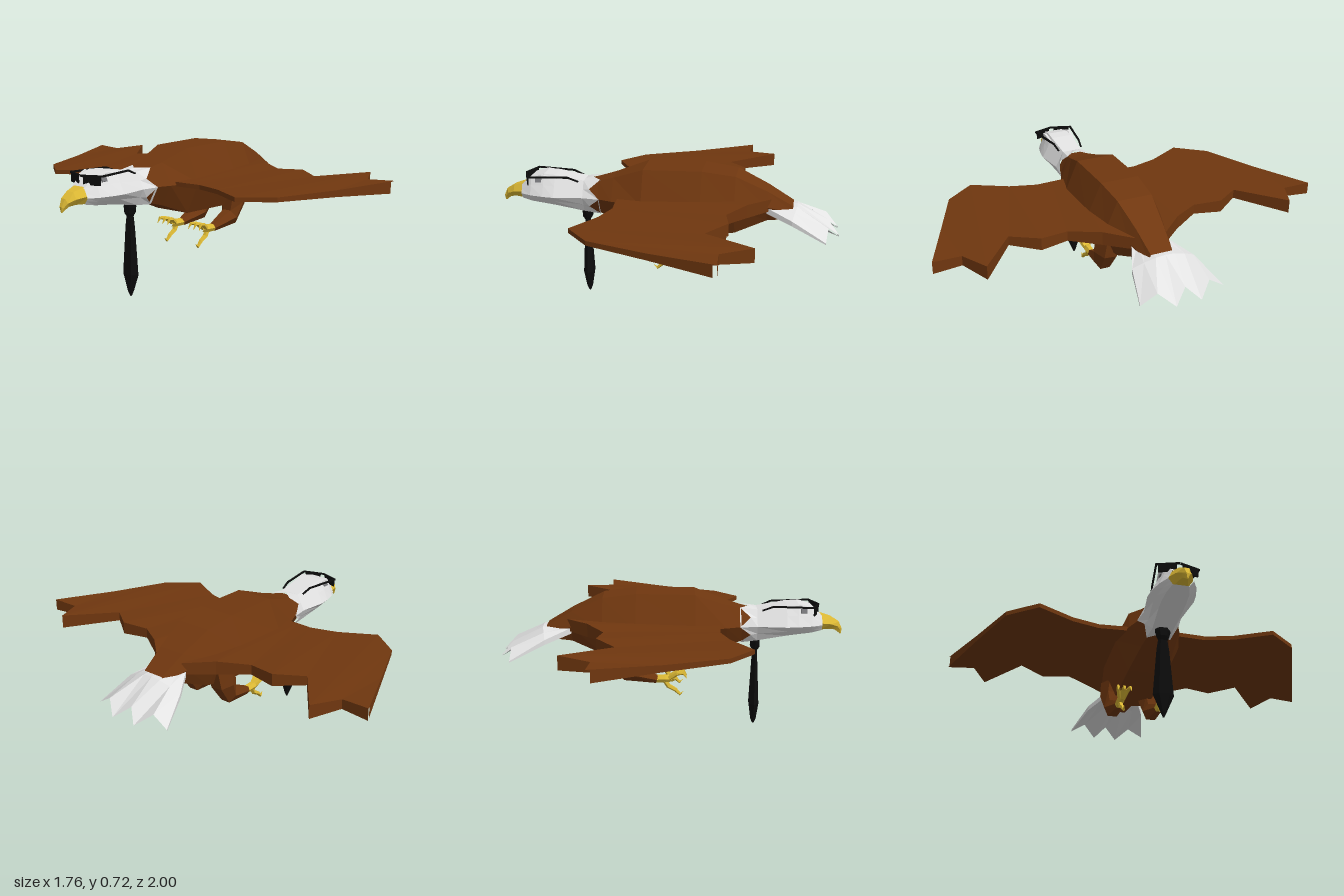
import * as THREE from 'three';

const mat = (name, color, side = THREE.FrontSide) =>
  Object.assign(new THREE.MeshStandardMaterial({ color, flatShading: true, side }), { name });

// Loft through rings of [x, y, z] points, closed with strip caps; faces always end up outward.
function loft(rings) {
  const tris = [];
  const quad = (a, b, c, d) => tris.push([a, b, c], [a, c, d]);
  const n = rings[0].length;
  for (let r = 0; r + 1 < rings.length; r++)
    for (let i = 0; i < n; i++) {
      const j = (i + 1) % n;
      quad(rings[r][i], rings[r][j], rings[r + 1][j], rings[r + 1][i]);
    }
  const cap = (g, flip) => {
    for (let i = 0; i < Math.floor(n / 2) - 1; i++) {
      const q = [g[i], g[n - 1 - i], g[n - 2 - i], g[i + 1]];
      quad(...(flip ? q.reverse() : q));
    }
  };
  cap(rings[0], true);
  cap(rings[rings.length - 1], false);
  let volume = 0;
  const [p, q, s] = [new THREE.Vector3(), new THREE.Vector3(), new THREE.Vector3()];
  const o = new THREE.Vector3(...rings[0][0]);
  for (const [a, b, c] of tris)
    volume += p.set(...a).sub(o).dot(q.set(...b).sub(o).cross(s.set(...c).sub(o)));
  if (volume < 0) tris.forEach((t) => t.reverse());
  const geo = new THREE.BufferGeometry();
  geo.setAttribute('position', new THREE.Float32BufferAttribute(tris.flat(2), 3));
  geo.computeVertexNormals();
  return geo;
}

// Six-sided body section: flat top, wide middle, flat bottom.
const hex = ([x, top, mid, bottom, wTop, wMid, wBottom]) => [
  [x, top, -wTop], [x, top, wTop], [x, mid, wMid],
  [x, bottom, wBottom], [x, bottom, -wBottom], [x, mid, -wMid],
];

// Doubles the points of a ring so its rim can be cut into points.
const split = (ring) => ring.flatMap((a, i) => {
  const b = ring[(i + 1) % ring.length];
  return [a, a.map((v, k) => (v + b[k]) / 2)];
});

// Tapered faceted limb along a path.
function limb(path, radii, sides = 6) {
  const pts = path.map((p) => new THREE.Vector3(...p));
  const zAxis = new THREE.Vector3(0, 0, 1);
  return loft(pts.map((p, i) => {
    const t = pts[Math.min(i + 1, pts.length - 1)].clone().sub(pts[Math.max(i - 1, 0)]).normalize();
    const u = t.clone().cross(zAxis).normalize();
    const v = t.clone().cross(u);
    return Array.from({ length: sides }, (_, k) => {
      const a = ((k + 0.5) / sides) * Math.PI * 2;
      return p.clone().addScaledVector(u, Math.cos(a) * radii[i])
        .addScaledVector(v, Math.sin(a) * radii[i]).toArray();
    });
  }));
}

export function createModel() {
  const bird = new THREE.Group();
  bird.name = 'bird';
  const brown = mat('brown feathers', 0x70370f);
  const white = mat('white feathers', 0xe2e2e2);
  const yellow = mat('yellow beak and feet', 0xdfbb35);
  const black = mat('black accessories', 0x0c0c0c);
  const grey = mat('grey eye', 0x77777a);
  const add = (name, geo, material) => {
    const mesh = new THREE.Mesh(geo, material);
    mesh.name = name;
    bird.add(mesh);
    return mesh;
  };

  // Body
  add('body', loft([
    [-0.43, 0.625, 0.555, 0.485, 0.045, 0.085, 0.045],
    [-0.36, 0.642, 0.555, 0.472, 0.055, 0.1, 0.055],
    [-0.28, 0.665, 0.555, 0.45, 0.07, 0.13, 0.07],
    [-0.12, 0.722, 0.555, 0.39, 0.1, 0.172, 0.1],
    [0.18, 0.727, 0.555, 0.385, 0.1, 0.178, 0.1],
    [0.35, 0.705, 0.555, 0.41, 0.09, 0.155, 0.09],
    [0.51, 0.63, 0.555, 0.475, 0.07, 0.1, 0.06],
    [0.64, 0.555, 0.525, 0.487, 0.055, 0.065, 0.05],
  ].map(hex)), brown);

  // Head, with a pointed feather collar
  const headRings = [
    [-0.775, 0.6, 0.555, 0.525, 0.04, 0.062, 0.04],
    [-0.72, 0.65, 0.555, 0.515, 0.05, 0.09, 0.055],
    [-0.65, 0.666, 0.555, 0.508, 0.055, 0.108, 0.06],
    [-0.59, 0.662, 0.555, 0.5, 0.058, 0.115, 0.06],
    [-0.44, 0.637, 0.555, 0.473, 0.052, 0.096, 0.052],
    [-0.37, 0.648, 0.555, 0.465, 0.06, 0.108, 0.06],
  ].map((r) => split(hex(r)));
  headRings[5].forEach((p, i) => { p[0] += i % 2 ? -0.035 : 0.02; });
  add('head', loft(headRings), white);

  // Hooked beak
  add('beak', loft([
    [[-0.76, 0.608], [-0.76, 0.565], [-0.76, 0.525], 0.035, 0.062],
    [[-0.825, 0.588], [-0.825, 0.555], [-0.81, 0.527], 0.022, 0.04],
    [[-0.868, 0.562], [-0.86, 0.54], [-0.845, 0.522], 0.013, 0.022],
    [[-0.885, 0.525], [-0.876, 0.518], [-0.862, 0.51], 0.007, 0.01],
    [[-0.882, 0.498], [-0.879, 0.498], [-0.876, 0.498], 0.002, 0.003],
  ].map(([t, m, b, w, wm]) => [
    [...t, -w], [...t, w], [...m, wm], [...b, w], [...b, -w], [...m, -wm],
  ])), yellow);

  // Fanned tail: top row of points out and bottom row back
  const fan = [
    { x: [0.51, 0.51, 0.51, 0.51, 0.51, 0.51, 0.51], z: [-0.09, -0.06, -0.03, 0, 0.03, 0.06, 0.09],
      y: [0.55, 0.555, 0.56, 0.56, 0.56, 0.555, 0.55], t: 0.03 },
    { x: [0.64, 0.65, 0.66, 0.66, 0.66, 0.65, 0.64], z: [-0.17, -0.115, -0.06, -0.01, 0.04, 0.095, 0.15],
      y: [0.505, 0.53, 0.548, 0.552, 0.548, 0.53, 0.505], t: 0.025 },
    { x: [0.81, 0.81, 0.87, 0.82, 0.875, 0.82, 0.81], z: [-0.24, -0.16, -0.09, -0.03, 0.04, 0.11, 0.19],
      y: [0.415, 0.465, 0.41, 0.465, 0.41, 0.465, 0.415], t: 0.008 },
  ];
  add('tail', loft(fan.map(({ x, y, z, t }) => {
    const top = x.map((v, i) => [v, y[i], z[i]]);
    return [...top, ...top.map(([a, b, c]) => [a, b - t, c]).reverse()];
  })), white);

  // Tie: knot and blade
  const tieRing = ([y, hx, hz]) =>
    [[-1, -0.5], [-1, 0.5], [0, 1], [1, 0.5], [1, -0.5], [0, -1]]
      .map(([a, b]) => [-0.435 + a * hx, y, b * hz]);
  add('tieKnot', loft([[0.485, 0.017, 0.035], [0.46, 0.024, 0.04], [0.43, 0.024, 0.032],
    [0.41, 0.012, 0.022]].map(tieRing)), black);
  add('tieBlade', loft([[0.425, 0.012, 0.022], [0.36, 0.014, 0.032], [0.12, 0.025, 0.052],
    [0.03, 0.014, 0.014], [0.005, 0.004, 0.003]].map(tieRing)), black);

  // Wing stations: leading x, z, trailing x, z, trailing half thickness
  const stations = [
    [-0.25, 0.08, 0.53, 0.08, 0.03],
    [-0.245, 0.2, 0.42, 0.2, 0.034],
    [-0.24, 0.28, 0.33, 0.34, 0.025],
    [-0.28, 0.42, 0.355, 0.48, 0.031],
    [-0.38, 0.6, 0.26, 0.61, 0.023],
    [-0.26, 0.75, 0.5, 0.79, 0.034],
    [0.04, 0.872, 0.35, 0.86, 0.024],
    [0.34, 0.992, 0.36, 1.0, 0.03],
  ];

  for (const s of [1, -1]) {
    const side = s > 0 ? 'left' : 'right';

    add(side + 'Wing', loft(stations.map(([lx, lz, tx, tz, h], i) => {
      const lead = i === 7 ? 0.028 : i === 6 ? 0.016 : 0.011;
      return [[lx, 0.56 + lead, s * lz], [tx, 0.563 + h, s * tz],
        [tx, 0.563 - h, s * tz], [lx, 0.56 - lead, s * lz]];
    })), brown);

    // Leg
    const z = s * 0.107;
    add(side + 'Leg', limb([[0.26, 0.47, s * 0.095], [0.255, 0.395, z], [0.22, 0.32, z],
      [0.075, 0.282, z]], [0.075, 0.066, 0.05, 0.022]), brown);

    // Foot: ankle, three front toes and one back toe
    add(side + 'Ankle', limb([[0.09, 0.283, z], [0.03, 0.285, z], [-0.015, 0.285, z]],
      [0.02, 0.022, 0.014]), yellow);
    for (const k of [-1, 0, 1])
      add(side + 'FrontToe', limb([[0.01, 0.29, z + k * 0.008], [-0.03, 0.318, z + k * 0.024],
        [-0.062, 0.322, z + k * 0.032], [-0.079, 0.295, z + k * 0.036]],
      [0.014, 0.011, 0.009, 0.001], 5), yellow);
    add(side + 'BackToe', limb([[0.035, 0.28, z], [0.015, 0.245, z], [-0.02, 0.225, z],
      [-0.045, 0.2, z], [-0.062, 0.216, z]], [0.015, 0.013, 0.011, 0.008, 0.001], 5), yellow);

    // Eye under a brow ridge
    const eye = add(side + 'Eye', new THREE.BoxGeometry(0.032, 0.022, 0.008), grey);
    eye.position.set(-0.678, 0.632, s * 0.071);
    eye.rotation.x = -s * 0.42;
    add(side + 'Brow', limb([[-0.715, 0.644, s * 0.062], [-0.66, 0.655, s * 0.07],
      [-0.58, 0.647, s * 0.066]], [0.004, 0.011, 0.003], 4), white);

    // Glasses: lens, top bar and temple
    const lens = add(side + 'Lens', new THREE.BoxGeometry(0.006, 0.042, 0.088), black);
    lens.position.set(-0.741, 0.632, s * 0.056);
    lens.rotation.y = s * 0.364;
    add(side + 'FrameBar', limb([[-0.76, 0.653, 0], [-0.72, 0.655, s * 0.107]],
      [0.006, 0.006], 4), black);
    add(side + 'Temple', limb([[-0.724, 0.655, s * 0.105], [-0.52, 0.655, s * 0.074],
      [-0.465, 0.633, s * 0.066]], [0.006, 0.006, 0.005], 4), black);
  }
  return bird;
}
